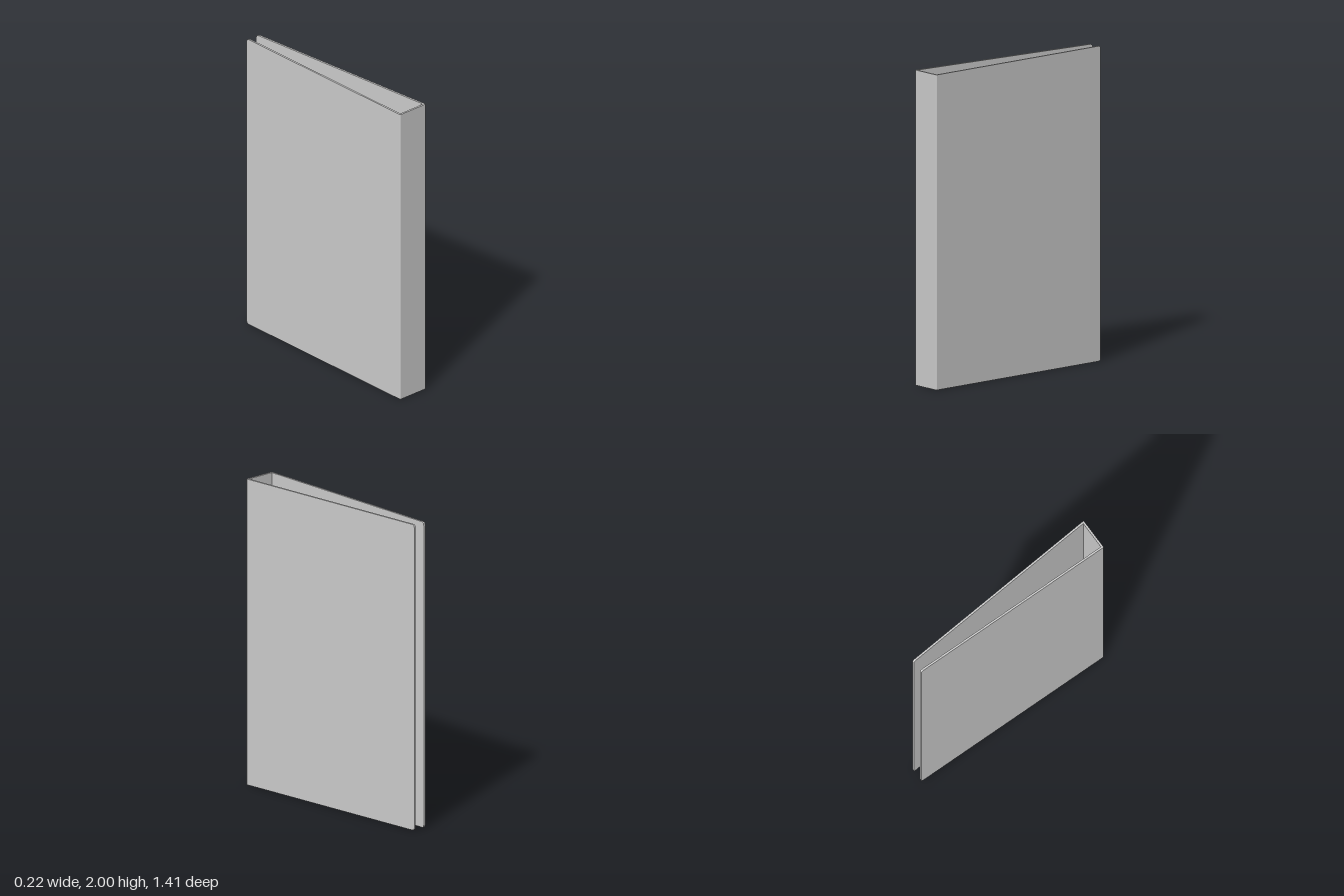
import * as THREE from 'three';

const H = 2, T = 0.013;
const mat = new THREE.MeshStandardMaterial({ color: 0xcccccc });

// Upright board along a plan line [x, z] from a to b; the corners at b have radius r
function board(name, a, b, y0, y1, t, r) {
  const dx = b[0] - a[0], dz = b[1] - a[1], len = Math.hypot(dx, dz);
  const s = new THREE.Shape();
  s.moveTo(0, y0);
  s.lineTo(len - r, y0);
  if (r) s.quadraticCurveTo(len, y0, len, y0 + r);
  s.lineTo(len, y1 - r);
  if (r) s.quadraticCurveTo(len, y1, len - r, y1);
  s.lineTo(0, y1);
  s.closePath();
  const geo = new THREE.ExtrudeGeometry(s, { depth: t, bevelEnabled: false, curveSegments: 5 });
  geo.translate(0, 0, -t / 2);
  const mesh = new THREE.Mesh(geo, mat);
  mesh.name = name;
  mesh.rotation.y = Math.atan2(-dz, dx);
  mesh.position.set(a[0], 0, a[1]);
  return mesh;
}

// Thin rod between two points
function rod(a, b, radius) {
  const d = b.clone().sub(a);
  const mesh = new THREE.Mesh(new THREE.CylinderGeometry(radius, radius, d.length() + radius, 6), mat);
  mesh.name = 'ringSegment';
  mesh.position.copy(a).add(b).multiplyScalar(0.5);
  mesh.quaternion.setFromUnitVectors(new THREE.Vector3(0, 1, 0), d.normalize());
  return mesh;
}

export function createModel() {
  const binder = new THREE.Group();
  binder.name = 'ringBinder';

  // Covers and spine share the two hinge lines
  const hingeR = [-0.102, 0.69], hingeL = [0.101, 0.697];
  binder.add(board('rightCover', hingeR, [-0.066, -0.709], 0, H, T, 0.02));
  binder.add(board('leftCover', hingeL, [0.014, -0.706], 0, H, T, 0.02));
  binder.add(board('spine', hingeR, hingeL, 0, H, T, 0));

  // Rounded folds
  for (const [x, z] of [hingeR, hingeL]) {
    const fold = new THREE.Mesh(new THREE.CylinderGeometry(T / 2, T / 2, H, 10), mat);
    fold.name = 'fold';
    fold.position.set(x, H / 2, z);
    binder.add(fold);
  }

  // Ring mechanism: a mounting plate carrying two faceted rings
  const mechanism = new THREE.Group();
  mechanism.name = 'ringMechanism';
  mechanism.add(board('mountingPlate', [-0.078, 0.685], [0.085, 0.69], 0.65, 1.35, 0.008, 0.02));
  const profile = [[-0.053, 0.687], [-0.07, 0.633], [-0.045, 0.591], [0.008, 0.579],
    [0.058, 0.602], [0.073, 0.648], [0.048, 0.688]];
  for (const y of [0.75, 1.25]) {
    const ring = new THREE.Group();
    ring.name = 'ring';
    const pts = profile.map(([x, z]) => new THREE.Vector3(x, y, z));
    for (let i = 1; i < pts.length; i++) ring.add(rod(pts[i - 1], pts[i], 0.005));
    mechanism.add(ring);
  }
  binder.add(mechanism);
  return binder;
}
